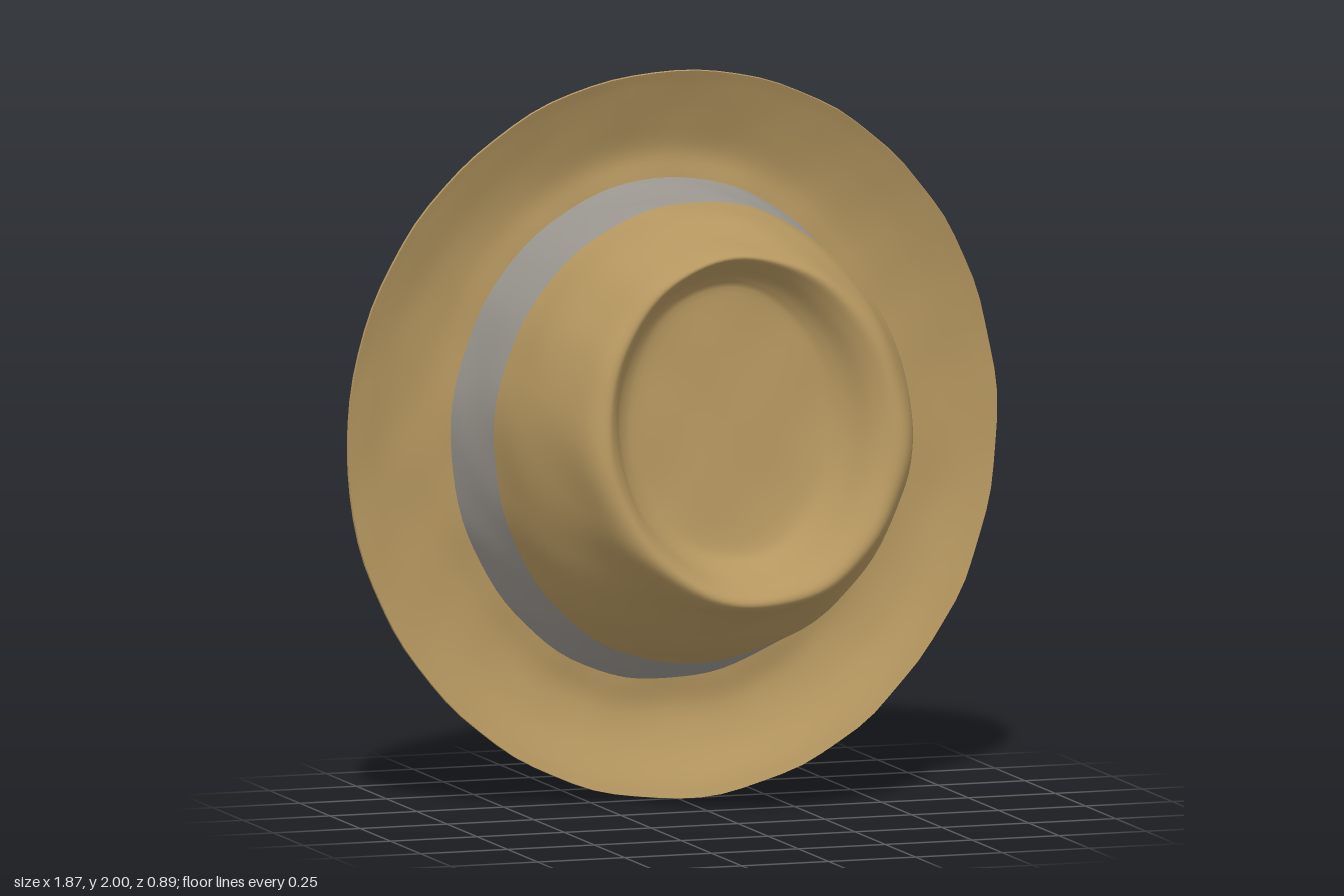
import * as THREE from 'three';

const SEGMENTS = 96;
const ROUGH = 0.005;
const TAN = 0xb4965f, BAND = 0x9a968f, PALE = 0xa8977a, DARK = 0x5c431f;

// Gentle dents, the same at shared seams because they depend only on position
function dent(x, y, z) {
  return Math.sin(9 * x + 4 * y) * Math.sin(8 * y - 5 * z + 1) * 0.5
    + Math.sin(21 * x - 13 * z) * Math.sin(19 * y + 11 * z) * 0.5;
}

// Lofts elliptical rings [cx, cy, rx, ry, z, tilt, bend], smoothed between sections.
// tilt leans a ring along y, bend curls its top and bottom forward.
function loft(name, color, rings, steps = 5) {
  const spline = new THREE.CubicInterpolant(rings.map((_, i) => i), rings.flat(), 7);
  const rows = (rings.length - 1) * steps;
  const positions = [], indices = [];
  for (let r = 0; r <= rows; r++) {
    const [cx, cy, rx, ry, z0, tilt, bend] = spline.evaluate(r / steps);
    for (let s = 0; s < SEGMENTS; s++) {
      const a = (s / SEGMENTS) * Math.PI * 2, c = Math.cos(a), n = Math.sin(a);
      const x = cx + rx * c, y = cy + ry * n, z = z0 + tilt * ry * n + bend * n * n;
      const d = ROUGH * dent(x, y, z) * Math.min(1, rx * 5);
      positions.push(x + d * c, y + d * n, z + d);
      if (r < rows) {
        const i = r * SEGMENTS + s, j = r * SEGMENTS + ((s + 1) % SEGMENTS);
        indices.push(i, i + SEGMENTS, j + SEGMENTS, i, j + SEGMENTS, j);
      }
    }
  }
  const geometry = new THREE.BufferGeometry();
  geometry.setAttribute('position', new THREE.Float32BufferAttribute(positions, 3));
  geometry.setIndex(indices);
  geometry.computeVertexNormals();
  return part(name, color, geometry);
}

function part(name, color, geometry) {
  const mesh = new THREE.Mesh(geometry, new THREE.MeshStandardMaterial({ color }));
  mesh.name = name;
  return mesh;
}

export function createModel() {
  const hat = new THREE.Group();
  hat.name = 'hat';

  // Rings shared by neighbouring parts
  const bandTop = [0, 1.025, 0.58, 0.635, -0.10, 0, 0];
  const bandFoot = [0, 1.005, 0.62, 0.69, -0.34, 0, 0];
  const brimEdge = [0, 1, 0.934, 0.998, -0.292, -0.01, 0.042];
  const lipOuter = [0, 0.98, 0.81, 0.868, -0.433, 0, 0.008];
  const lipInner = [0, 0.985, 0.67, 0.725, -0.41, 0, 0];

  // Sunken crown top, rounded rim and tapering side
  hat.add(loft('crown', TAN, [
    [-0.02, 1.10, 0, 0, 0.225, -0.10, 0],
    [-0.02, 1.10, 0.24, 0.32, 0.23, -0.10, 0],
    [-0.02, 1.10, 0.32, 0.39, 0.265, -0.13, 0],
    [-0.01, 1.10, 0.37, 0.435, 0.34, -0.16, 0],
    [0, 1.095, 0.415, 0.465, 0.374, -0.16, 0],
    [0, 1.09, 0.462, 0.488, 0.345, -0.15, 0],
    [0, 1.08, 0.503, 0.522, 0.24, -0.10, 0],
    [0, 1.045, 0.555, 0.595, 0.07, -0.04, 0],
    bandTop,
  ]));

  // Ribbon around the foot of the crown
  hat.add(loft('hatBand', BAND, [
    bandTop,
    [0, 1.01, 0.603, 0.67, -0.25, 0, 0],
    bandFoot,
  ]));

  // Dished brim front, thin edge and flared back
  hat.add(loft('brimFront', TAN, [
    bandFoot,
    [0, 1, 0.70, 0.77, -0.348, 0, 0],
    [0, 1, 0.80, 0.86, -0.338, 0, 0.02],
    [0, 1, 0.89, 0.955, -0.308, -0.01, 0.038],
    brimEdge,
  ]));
  hat.add(loft('brimBack', TAN, [
    brimEdge,
    [0, 1, 0.932, 0.993, -0.306, -0.01, 0.042],
    [0, 0.992, 0.885, 0.925, -0.355, -0.005, 0.03],
    [0, 0.985, 0.835, 0.882, -0.41, 0, 0.012],
    lipOuter,
  ]));

  // Worn lip around the opening and the hollow inside of the crown
  hat.add(loft('openingLip', PALE, [
    lipOuter,
    [0, 0.98, 0.79, 0.845, -0.441, 0, 0.004],
    [0, 0.98, 0.75, 0.805, -0.43, 0, 0],
    lipInner,
  ]));
  hat.add(loft('lining', DARK, [
    lipInner,
    [0, 0.995, 0.60, 0.655, -0.37, 0, 0],
    [0, 1.005, 0.57, 0.63, -0.26, 0, 0],
    [0, 1.015, 0.54, 0.595, -0.12, 0, 0],
    [0, 1.02, 0.46, 0.52, -0.04, 0, 0],
    [0, 1.02, 0.24, 0.28, -0.01, 0, 0],
    [0, 1.02, 0, 0, 0, 0, 0],
  ]));

  // Small stud set nearly flush in the band
  const stud = new THREE.Group();
  stud.name = 'bandStud';
  const ring = part('studRing', PALE, new THREE.TorusGeometry(0.042, 0.009, 8, 24));
  const cap = part('studCap', BAND, new THREE.SphereGeometry(0.036, 16, 10));
  cap.scale.z = 0.25;
  stud.add(ring, cap);
  stud.position.set(0.597, 1.03, -0.22);
  stud.rotation.y = Math.PI / 2 - 0.15;
  hat.add(stud);

  return hat;
}
